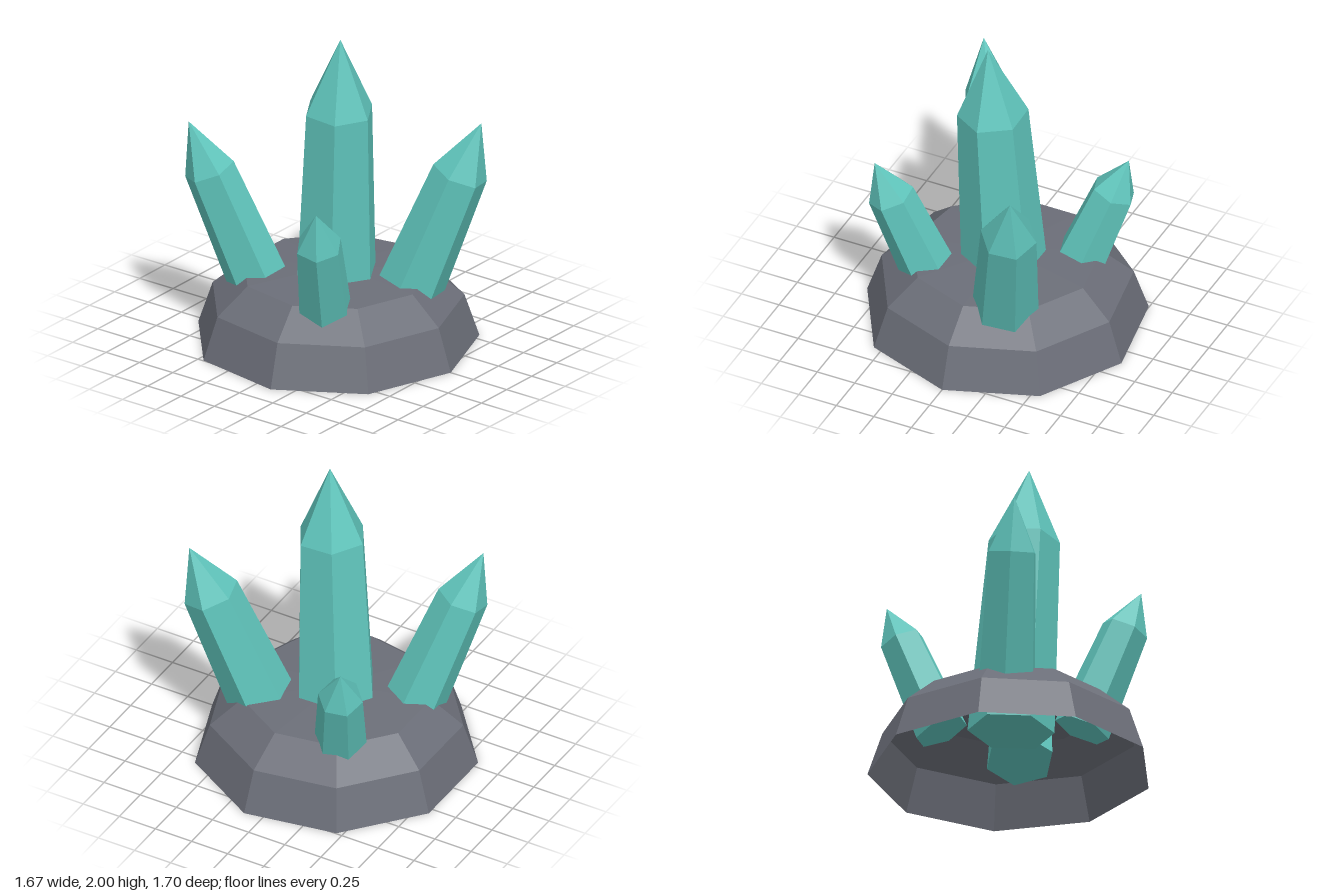
import * as THREE from 'three';

export function createModel() {
  const model = new THREE.Group();

  const rockMaterial = new THREE.MeshStandardMaterial({ color: 0x6b6e78, flatShading: true, side: THREE.DoubleSide });
  rockMaterial.name = 'grey rock';
  const crystalMaterial = new THREE.MeshStandardMaterial({ color: 0x5fc4bb, flatShading: true });
  crystalMaterial.name = 'teal crystal';

  const profile = (pairs) => pairs.map(([r, y]) => new THREE.Vector2(r, y));

  // Nine-sided rock shell, open underneath
  const rock = new THREE.Mesh(
    new THREE.LatheGeometry(profile([[0.861, 0], [0.771, 0.268], [0.575, 0.436], [0, 0.475]]), 9, Math.PI / 2),
    rockMaterial
  );
  rock.name = 'rockBase';
  rock.position.x = -0.03;
  model.add(rock);

  // Six-sided tapered crystal with a pointed tip, from a base centre to its apex
  const up = new THREE.Vector3(0, 1, 0);
  function addCrystal(name, base, apex, radius, twistDegrees) {
    const start = new THREE.Vector3(...base);
    const axis = new THREE.Vector3(...apex).sub(start);
    const length = axis.length();
    const geometry = new THREE.LatheGeometry(
      profile([[0, 0], [radius, 0], [radius * 0.82, length * 0.727], [0, length]]),
      6,
      Math.PI / 2 - THREE.MathUtils.degToRad(twistDegrees)
    );
    const crystal = new THREE.Mesh(geometry, crystalMaterial);
    crystal.name = name;
    crystal.position.copy(start);
    crystal.quaternion.setFromUnitVectors(up, axis.normalize());
    model.add(crystal);
  }

  addCrystal('centralCrystal', [-0.03, 0.26, 0], [0.058, 2, 0.073], 0.262, 0);
  addCrystal('frontRightCrystal', [-0.405, 0.26, 0.21], [-0.757, 1.4, 0.5], 0.192, 30);
  addCrystal('backLeftCrystal', [0.34, 0.26, -0.18], [0.75, 1.465, -0.413], 0.21, 18);
  addCrystal('frontLeftCrystal', [0.18, 0.26, 0.37], [0.34, 1.14, 0.69], 0.174, 0);
  addCrystal('backRightCrystal', [-0.26, 0.26, -0.346], [-0.422, 1.08, -0.632], 0.168, 43);

  return model;
}
